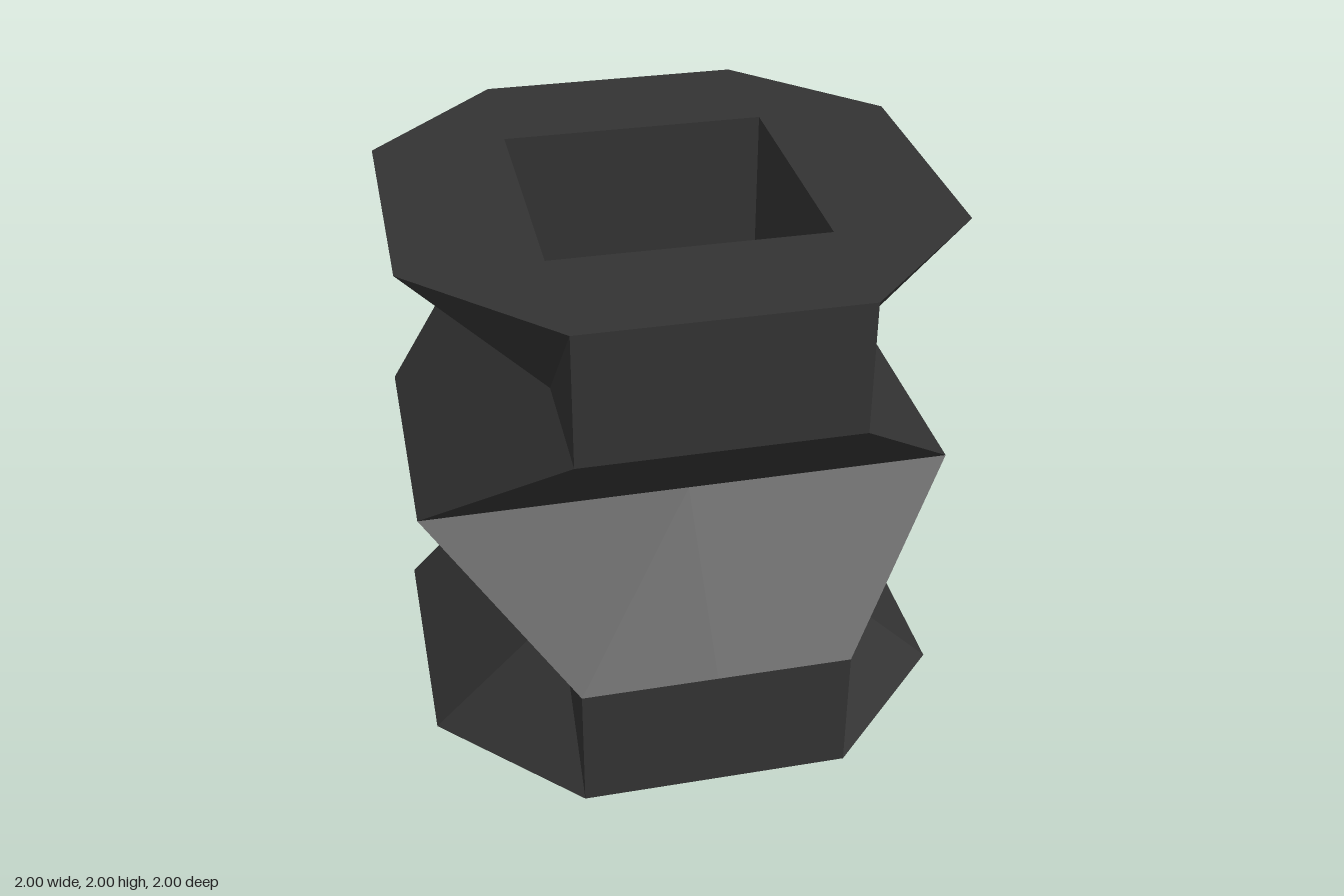
import * as THREE from 'three';

const H = 0.5; // half width of the square bore, and height of each fold

// Facets of one eighth of the model (x > 0, z > 0, lower half), corners counter-clockwise
const PARTS = {
  foldedShell: [
    [[0, 0, 1], [H, 0, 1], [H, H, 1], [0, H, 1]], // upright front panel
    [[H, 0, 1], [1, 0, H], [H, H, H]], // corner gusset
    [[H, 0, 1], [H, H, H], [H, H, 1]], // cheek behind the gusset
    [[1, 0, H], [1, 0, 0], [H, H, 0], [H, H, H]], // sloping side panel
    [[0, H, 1], [H, H, 1], [1, 1, H], [0, 1, H]], // front fold, leaning in
    [[H, H, 1], [H, H, 0], [1, 1, 0], [1, 1, H]], // side fold, leaning out
  ],
  endRims: [
    [[0, 0, H], [H, 0, H], [H, 0, 1], [0, 0, 1]],
    [[H, 0, H], [1, 0, H], [H, 0, 1]],
    [[H, 0, 0], [1, 0, 0], [1, 0, H], [H, 0, H]],
  ],
  boreWalls: [
    [[0, 0, H], [0, 1, H], [H, 1, H], [H, 0, H]],
    [[H, 0, 0], [H, 0, H], [H, 1, H], [H, 1, 0]],
  ],
};

// Mirror the facets into all eight octants, swapping the winding where needed
function mirroredGeometry(facets) {
  const positions = [];
  for (const sx of [1, -1]) for (const sy of [1, -1]) for (const sz of [1, -1]) {
    const place = ([x, y, z]) => [x * sx, 1 + (y - 1) * sy, z * sz];
    for (const facet of facets) {
      const corners = facet.map(place);
      if (sx * sy * sz < 0) corners.reverse();
      for (let i = 1; i < corners.length - 1; i++) {
        positions.push(...corners[0], ...corners[i], ...corners[i + 1]);
      }
    }
  }
  const geometry = new THREE.BufferGeometry();
  geometry.setAttribute('position', new THREE.Float32BufferAttribute(positions, 3));
  geometry.computeVertexNormals();
  return geometry;
}

export function createModel() {
  const group = new THREE.Group();
  group.name = 'foldedColumn';
  const material = new THREE.MeshStandardMaterial({ color: 0x333333, flatShading: true });
  for (const [name, facets] of Object.entries(PARTS)) {
    const mesh = new THREE.Mesh(mirroredGeometry(facets), material);
    mesh.name = name;
    group.add(mesh);
  }
  return group;
}
